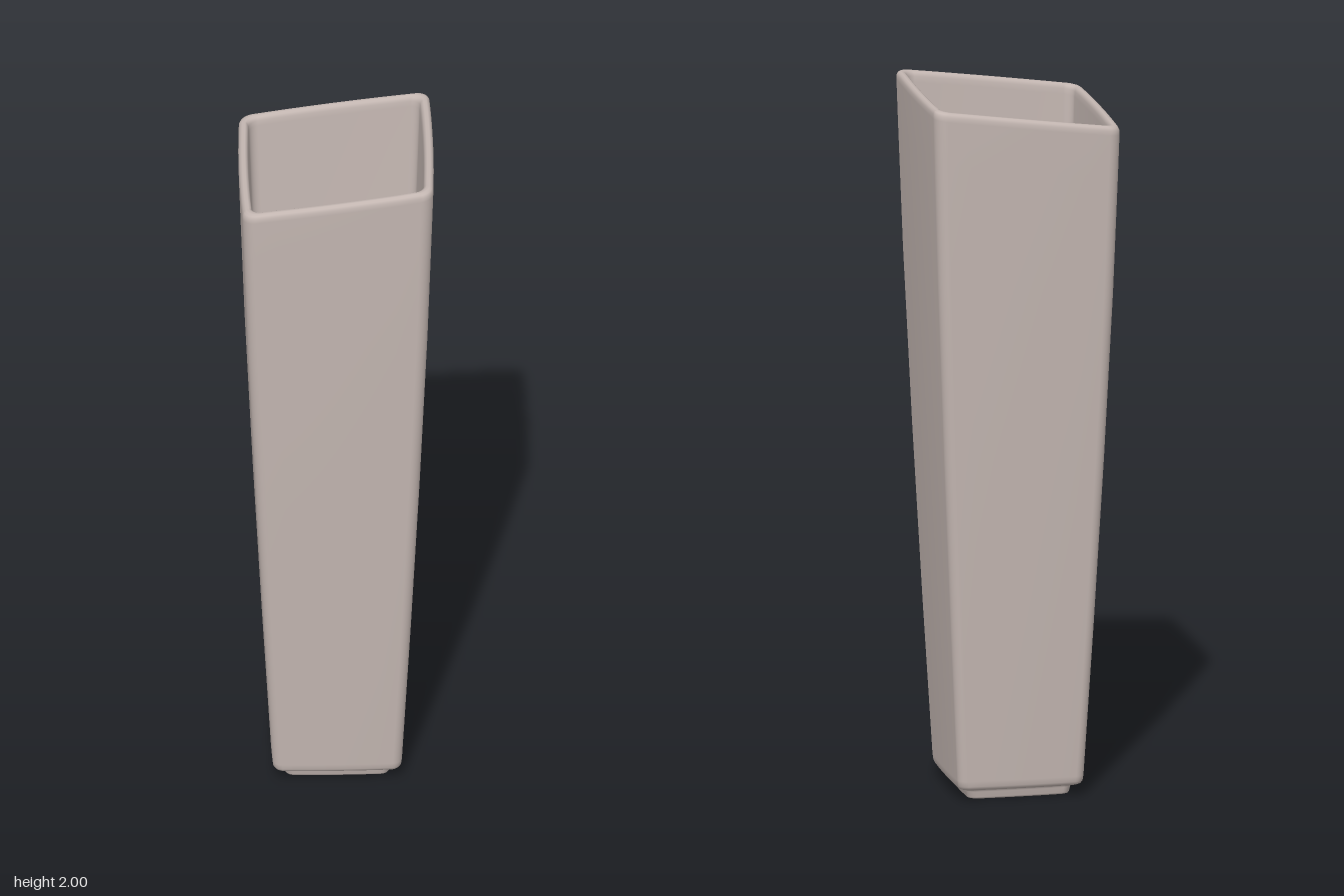
import * as THREE from 'three';

const SIDE = 8, ARC = 7;

// One rounded-square ring with gently bowed sides; the slant grows with height
function ring(half, y, radius) {
  const pts = [];
  const add = (x, z, q) => {
    const bx = x * (1 - 0.025 * (z / half) ** 2);
    const bz = z * (1 - 0.025 * (x / half) ** 2);
    const [c, s] = [[1, 0], [0, 1], [-1, 0], [0, -1]][q];
    const px = bx * c - bz * s, pz = bx * s + bz * c;
    pts.push(px, y * (1 + (0.139 * px - 0.037) / 2), pz);
  };
  const flat = half - radius;
  for (let q = 0; q < 4; q++) {
    for (let i = 0; i < SIDE; i++) add(half, flat * (2 * i / SIDE - 1), q);
    for (let i = 0; i < ARC; i++) {
      const a = (i / ARC) * Math.PI / 2;
      add(flat + radius * Math.cos(a), flat + radius * Math.sin(a), q);
    }
  }
  return pts;
}

// Loft the rings, closing both ends with a centre fan
function loft(profile) {
  const n = 4 * (SIDE + ARC), pos = [], idx = [];
  for (const row of profile) pos.push(...ring(...row));
  for (let i = 0; i < profile.length - 1; i++) {
    for (let j = 0; j < n; j++) {
      const k = (j + 1) % n, a = i * n + j, b = i * n + k;
      idx.push(a, a + n, b, b, a + n, b + n);
    }
  }
  const last = (profile.length - 1) * n, c0 = profile.length * n;
  pos.push(0, profile[0][1], 0, 0, profile[profile.length - 1][1] * 0.9815, 0);
  for (let j = 0; j < n; j++) {
    const k = (j + 1) % n;
    idx.push(c0, j, k, c0 + 1, last + k, last + j);
  }
  const geo = new THREE.BufferGeometry();
  geo.setAttribute('position', new THREE.Float32BufferAttribute(pos, 3));
  geo.setIndex(idx);
  geo.computeVertexNormals();
  return geo;
}

export function createModel() {
  const ceramic = new THREE.MeshStandardMaterial({ color: 0xc4b7b2 });
  ceramic.name = 'warm grey ceramic';

  // Half width, height and corner radius, from under the foot, over the rim, to the inner floor
  const profile = [
    // recess under the foot
    [0.1, 0.016, 0.015], [0.113, 0.016, 0.018], [0.118, 0.012, 0.018], [0.121, 0.004, 0.02],
    // foot ring
    [0.126, 0, 0.02], [0.141, 0, 0.022], [0.146, 0.002, 0.022], [0.148, 0.006, 0.022],
    [0.151, 0.022, 0.022], [0.153, 0.028, 0.022], [0.157, 0.031, 0.022],
    // rounded underside and outer walls
    [0.17, 0.032, 0.024], [0.177, 0.036, 0.025], [0.181, 0.044, 0.025], [0.183, 0.06, 0.025],
    [0.207, 0.5, 0.027], [0.232, 1, 0.029], [0.254, 1.5, 0.031], [0.266, 1.85, 0.033], [0.27, 1.975, 0.034],
    // rounded rim
    [0.2695, 1.988, 0.034], [0.266, 1.996, 0.033], [0.26, 2, 0.031],
    [0.252, 2, 0.029], [0.246, 1.996, 0.027], [0.243, 1.986, 0.026], [0.242, 1.97, 0.025],
    // inner walls and floor
    [0.226, 1.5, 0.024], [0.204, 1, 0.023], [0.182, 0.5, 0.021], [0.162, 0.1, 0.02],
    [0.158, 0.08, 0.02], [0.15, 0.071, 0.019], [0.135, 0.068, 0.018], [0.1, 0.068, 0.015],
  ];

  const vase = new THREE.Mesh(loft(profile), ceramic);
  vase.name = 'vase';
  const group = new THREE.Group();
  group.name = 'taperedSquareVase';
  group.add(vase);
  return group;
}
